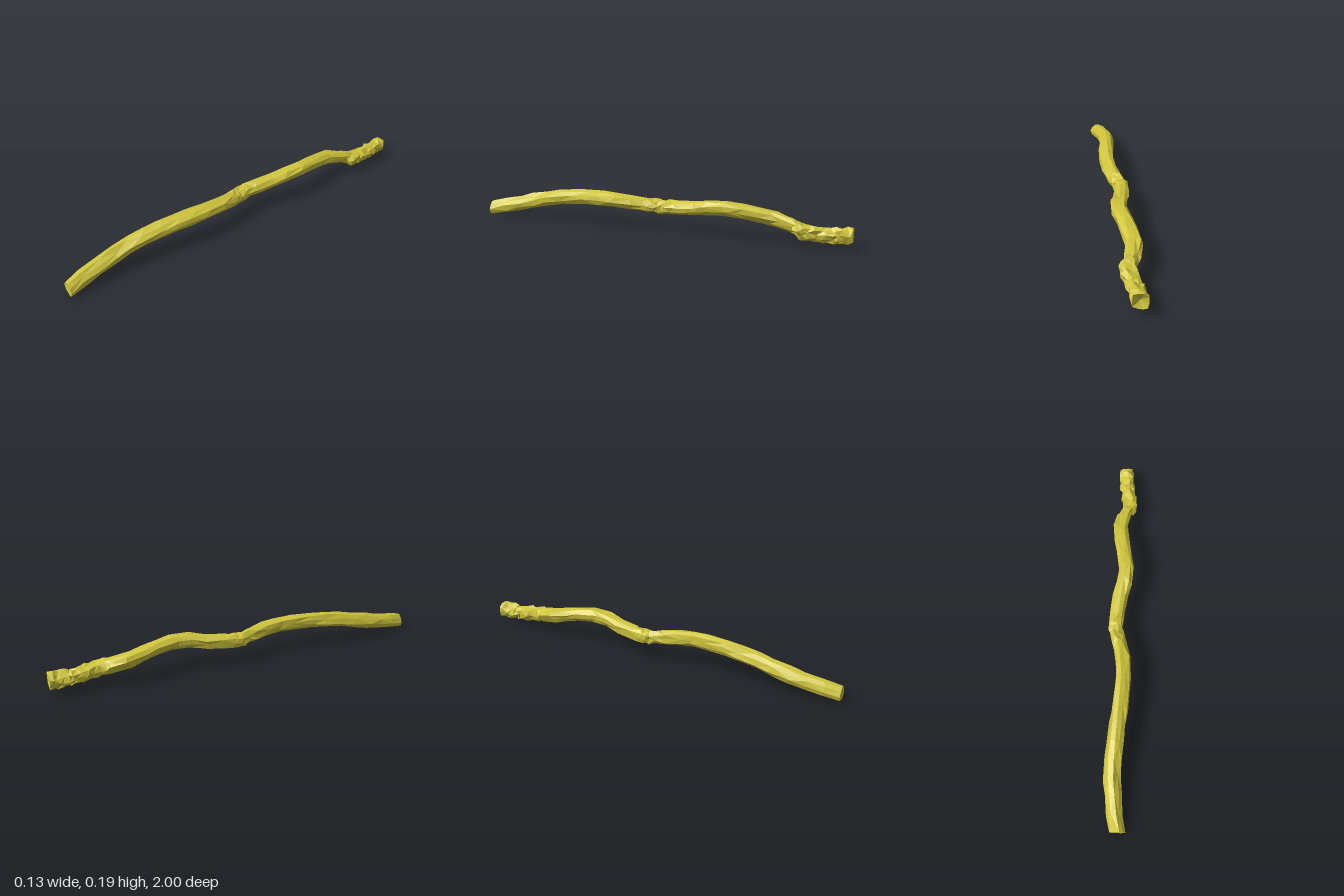
import * as THREE from 'three';

// Small seeded random generator, returns -1..1
function seeded(seed) {
  let s = seed;
  return () => {
    s = (s * 16807) % 2147483647;
    return (s / 2147483647) * 2 - 1;
  };
}

// Centre line of the branch, front to back: [x, y, z, radius]
const SPINE = [
  [0.008, 0.04, 1, 0.037], [-0.01, 0.06, 0.9, 0.039], [-0.027, 0.098, 0.73, 0.043],
  [-0.017, 0.132, 0.58, 0.042], [0.0, 0.152, 0.42, 0.041], [0.015, 0.154, 0.25, 0.04],
  [0.002, 0.141, 0.1, 0.037], [-0.028, 0.128, 0.0, 0.036], [-0.034, 0.128, -0.06, 0.038],
  [-0.017, 0.14, -0.18, 0.039], [0.018, 0.165, -0.33, 0.039], [-0.004, 0.152, -0.47, 0.039],
  [-0.026, 0.13, -0.6, 0.039], [-0.01, 0.108, -0.69, 0.036], [0.026, 0.088, -0.755, 0.039],
  [0.012, 0.078, -0.86, 0.038], [-0.004, 0.08, -1, 0.04],
];

// Stations along z: long facets on the smooth wood, short ones at the knots
function stations() {
  const list = [1];
  let z = 1;
  while (z > -0.985) {
    const knot = Math.abs(z) < 0.055 || z < -0.7;
    z -= knot ? 0.023 : Math.abs(z) < 0.1 ? 0.04 : 0.085;
    if (z > -0.985) list.push(z);
  }
  list.push(-1);
  return list;
}

// How gnarled the bark is at z: 0 smooth, 1 knotted
function gnarl(z) {
  const collar = Math.exp(-((z / 0.045) ** 2));
  const rear = THREE.MathUtils.smoothstep(-z, 0.64, 0.75);
  return Math.max(collar, rear * 0.85);
}

function spineAt(z) {
  let i = 0;
  while (i < SPINE.length - 2 && SPINE[i + 1][2] > z) i++;
  const a = SPINE[i], b = SPINE[i + 1];
  const t = (a[2] - z) / (a[2] - b[2]);
  return a.map((v, k) => THREE.MathUtils.lerp(v, b[k], t));
}

function branchGeometry() {
  const rand = seeded(4127);
  const SIDES = 10;
  const zs = stations();
  const pos = [], index = [];

  // Bark rings with slowly twisting ridges
  zs.forEach((z, r) => {
    const [cx, cy, , radius] = spineAt(z);
    const end = r === 0 || r === zs.length - 1;
    const g = gnarl(z);
    const twist = (1 - z) * 0.7;
    for (let j = 0; j < SIDES; j++) {
      const a = (j / SIDES) * Math.PI * 2 + twist + rand() * (0.08 + 0.1 * g);
      const ridge = j % 3 === 0 ? 0.06 : j % 3 === 1 ? -0.09 : 0.02;
      const d = radius * (1 + ridge + rand() * (0.07 + 0.16 * g));
      const dz = end ? 0 : rand() * (0.022 - 0.014 * g);
      pos.push(
        cx + Math.cos(a) * d,
        Math.max(0, cy + Math.sin(a) * d),
        THREE.MathUtils.clamp(z + dz, -1, 1)
      );
    }
  });
  for (let r = 0; r < zs.length - 1; r++) {
    for (let j = 0; j < SIDES; j++) {
      const k = (j + 1) % SIDES;
      const a = r * SIDES + j, b = r * SIDES + k, c = a + SIDES, d = b + SIDES;
      if ((r + j) % 2) index.push(a, c, b, b, c, d);
      else index.push(a, c, d, a, d, b);
    }
  }

  // Cut front end and slightly hollow broken rear end
  const front = pos.length / 3;
  pos.push(SPINE[0][0], SPINE[0][1], 0.997);
  const last = SPINE[SPINE.length - 1];
  pos.push(last[0], last[1], -0.98);
  const base = (zs.length - 1) * SIDES;
  for (let j = 0; j < SIDES; j++) {
    const k = (j + 1) % SIDES;
    index.push(front, j, k);
    index.push(front + 1, base + k, base + j);
  }

  const geo = new THREE.BufferGeometry();
  geo.setAttribute('position', new THREE.Float32BufferAttribute(pos, 3));
  geo.setIndex(index);
  const flat = geo.toNonIndexed();
  flat.computeVertexNormals();
  return flat;
}

export function createModel() {
  const group = new THREE.Group();
  group.name = 'branch';
  const bark = new THREE.MeshStandardMaterial({ color: 0xd0c53c, flatShading: true });
  const stick = new THREE.Mesh(branchGeometry(), bark);
  stick.name = 'knottedStick';
  group.add(stick);
  return group;
}
